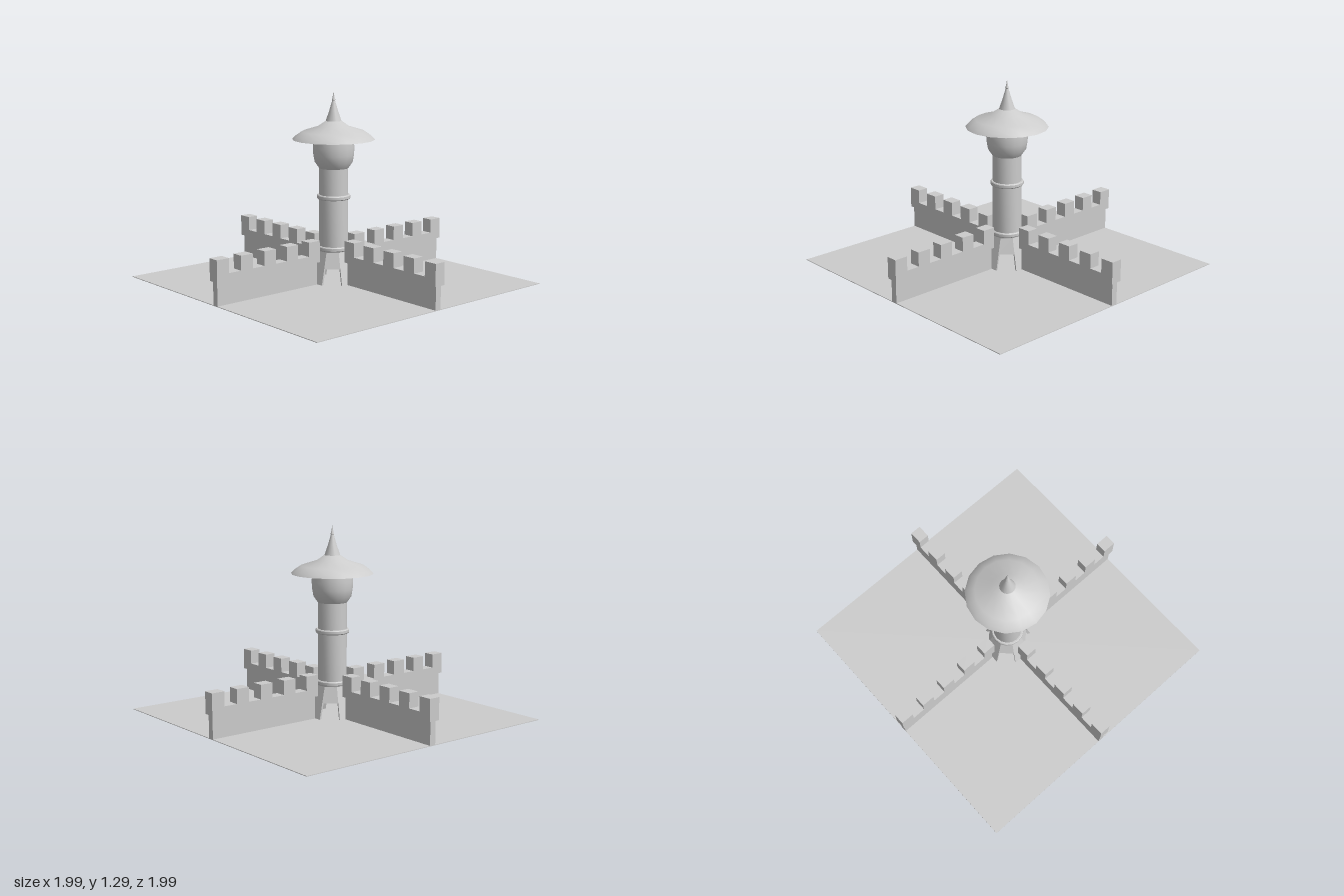
import * as THREE from 'three';
import { toCreasedNormals } from 'three/addons/utils/BufferGeometryUtils.js';

const stone = new THREE.MeshStandardMaterial({ color: 0xcccccc, side: THREE.DoubleSide });
stone.name = 'stone grey';

function add(parent, name, geometry) {
  const mesh = new THREE.Mesh(geometry, stone);
  mesh.name = name;
  parent.add(mesh);
  return mesh;
}

// Sixteen-sided turned part from [radius, height] pairs, bottom to top
function turned(parent, name, profile) {
  const points = profile.map(([r, y]) => new THREE.Vector2(r, y));
  return add(parent, name, toCreasedNormals(new THREE.LatheGeometry(points, 16), 0.6));
}

// Box given by its x and y limits and its depth in z
function block(parent, name, x0, x1, y0, y1, depth) {
  const mesh = add(parent, name, new THREE.BoxGeometry(x1 - x0, y1 - y0, depth));
  mesh.position.set((x0 + x1) / 2, (y0 + y1) / 2, 0);
}

// One crenellated wall running outward along +x
function createWall() {
  const wall = new THREE.Group();
  wall.name = 'wall';
  const start = 0.157, end = 0.997, step = (end - start) / 9;
  block(wall, 'wallBase', 0.167, 0.985, 0, 0.16, 0.044);
  block(wall, 'parapet', start, end, 0.16, 0.21, 0.078);
  for (let i = 0; i < 9; i += 2) {
    block(wall, 'merlon', start + i * step, start + (i + 1) * step, 0.21, 0.307, 0.078);
  }
  return wall;
}

// Hollow flared octagon with doorways in its four diagonal faces
function flaredFootGeometry() {
  const positions = [];
  const top = 0.215, door = 0.11, thickness = 0.02;
  const corner = (k, y, inset) => {
    const r = THREE.MathUtils.lerp(0.178, 0.108, y / top) - inset;
    const a = Math.PI / 8 + (k * Math.PI) / 4;
    return [r * Math.sin(a), y, r * Math.cos(a)];
  };
  const quad = (a, b, c, d) => positions.push(...a, ...b, ...c, ...a, ...c, ...d);
  for (let k = 0; k < 8; k++) {
    const open = k % 2 === 0;
    const y0 = open ? door : 0;
    // outer and inner faces
    quad(corner(k, y0, 0), corner(k + 1, y0, 0), corner(k + 1, top, 0), corner(k, top, 0));
    quad(corner(k + 1, y0, thickness), corner(k, y0, thickness),
      corner(k, top, thickness), corner(k + 1, top, thickness));
    if (open) {
      // lintel and two jambs
      quad(corner(k, door, thickness), corner(k + 1, door, thickness),
        corner(k + 1, door, 0), corner(k, door, 0));
      quad(corner(k, 0, 0), corner(k, door, 0), corner(k, door, thickness), corner(k, 0, thickness));
      quad(corner(k + 1, 0, thickness), corner(k + 1, door, thickness),
        corner(k + 1, door, 0), corner(k + 1, 0, 0));
    }
  }
  const geometry = new THREE.BufferGeometry();
  geometry.setAttribute('position', new THREE.Float32BufferAttribute(positions, 3));
  geometry.computeVertexNormals();
  return geometry;
}

export function createModel() {
  const model = new THREE.Group();
  model.name = 'watchtowerWithWalls';

  // Ground slab
  const ground = add(model, 'groundSlab', new THREE.BoxGeometry(1.97, 0.004, 1.97));
  ground.position.y = 0.002;

  // Four walls around the tower
  for (let i = 0; i < 4; i++) {
    const wall = createWall();
    wall.rotation.y = (i * Math.PI) / 2;
    model.add(wall);
  }

  // Tower body
  const tower = new THREE.Group();
  tower.name = 'tower';
  model.add(tower);
  add(tower, 'flaredFoot', flaredFootGeometry());
  turned(tower, 'shaft', [[0, 0.2], [0.098, 0.2], [0.098, 0.79]]);
  for (const y of [0.22, 0.57]) {
    turned(tower, 'ringBand', [[0.095, y], [0.108, y], [0.113, y + 0.006],
      [0.113, y + 0.024], [0.108, y + 0.03], [0.095, y + 0.03]]);
  }
  turned(tower, 'lookoutHead', [[0, 0.78], [0.1, 0.78], [0.128, 0.82], [0.137, 0.87],
    [0.14, 0.92], [0.134, 0.975]]);

  // Broad roof, spire and finial
  turned(tower, 'roof', [[0, 0.973], [0.278, 0.973], [0.258, 0.995], [0.212, 1.027],
    [0.107, 1.06], [0.053, 1.097], [0, 1.1]]);
  turned(tower, 'spire', [[0.053, 1.097], [0.03, 1.163], [0.009, 1.235], [0, 1.24]]);
  turned(tower, 'finial', [[0, 1.226], [0.008, 1.229], [0.012, 1.238], [0.008, 1.25],
    [0.005, 1.265], [0, 1.295]]);

  return model;
}
